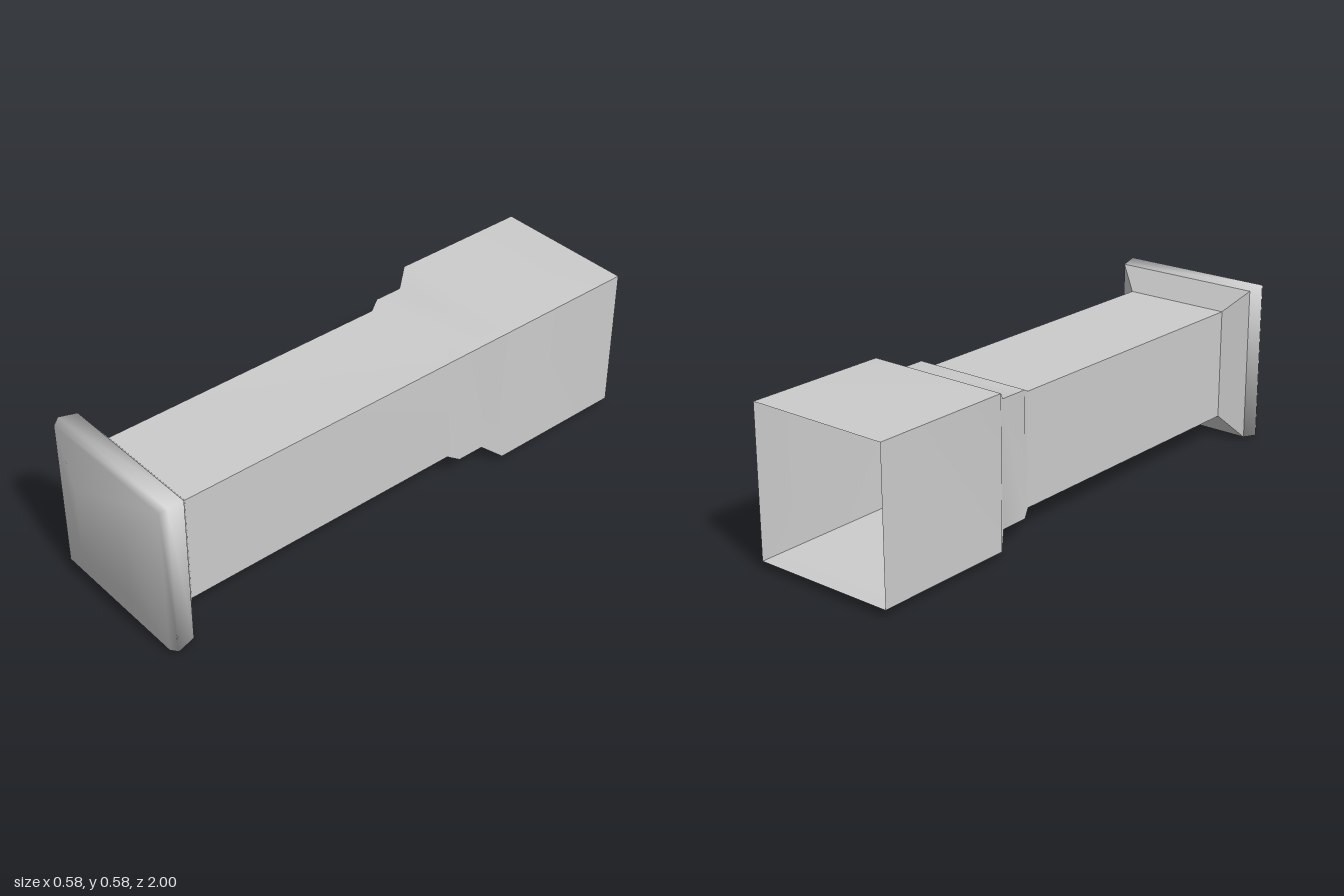
import * as THREE from 'three';

const CORNERS = [[1, 1], [-1, 1], [-1, -1], [1, -1]];

// Square loft along z through [z, half width] rings.
// rounded: corners share vertices, so shading flows around them; otherwise each side is its own panel.
function squareLoft(profile, rounded, closeFront) {
  const pos = [], index = [];
  const addRing = ([z, h], corners) => corners.forEach(([x, y]) => pos.push(x * h, y * h, z));
  const quad = (a, b, c, d) => index.push(a, b, c, a, c, d);
  const last = profile.length - 1;
  if (rounded) {
    profile.forEach((p) => addRing(p, CORNERS));
    for (let j = 0; j < last; j++)
      for (let i = 0; i < 4; i++) {
        const k = (i + 1) % 4;
        quad(j * 4 + i, j * 4 + k, j * 4 + 4 + k, j * 4 + 4 + i);
      }
    if (closeFront) quad(last * 4, last * 4 + 1, last * 4 + 2, last * 4 + 3);
  } else {
    for (let i = 0; i < 4; i++) {
      const base = pos.length / 3;
      profile.forEach((p) => addRing(p, [CORNERS[i], CORNERS[(i + 1) % 4]]));
      for (let j = 0; j < last; j++) {
        const a = base + j * 2;
        quad(a, a + 1, a + 3, a + 2);
      }
    }
  }
  const geo = new THREE.BufferGeometry();
  geo.setAttribute('position', new THREE.Float32BufferAttribute(pos, 3));
  geo.setIndex(index);
  geo.computeVertexNormals();
  return geo;
}

export function createModel() {
  const model = new THREE.Group();
  model.name = 'squarePost';
  const grey = new THREE.MeshStandardMaterial({ color: 0xcccccc, side: THREE.DoubleSide });
  grey.name = 'light grey';

  const add = (name, geo) => {
    const mesh = new THREE.Mesh(geo, grey);
    mesh.name = name;
    mesh.position.y = 0.289;
    model.add(mesh);
  };

  // Hollow shaft with a stepped, wider socket open at the back
  add('shaft', squareLoft([
    [-1, 0.264], [-0.475, 0.264], [-0.415, 0.22], [-0.31, 0.22], [-0.27, 0.2], [0.82, 0.2],
  ], false, false));

  // Flared collar behind the cap
  add('capCollar', squareLoft([[0.82, 0.2], [0.875, 0.279]], false, false));

  // Softly rounded cap with a shallow pyramid face
  add('cap', squareLoft([
    [0.875, 0.279], [0.94, 0.289], [0.965, 0.276], [1, 0.13],
  ], true, true));

  return model;
}
